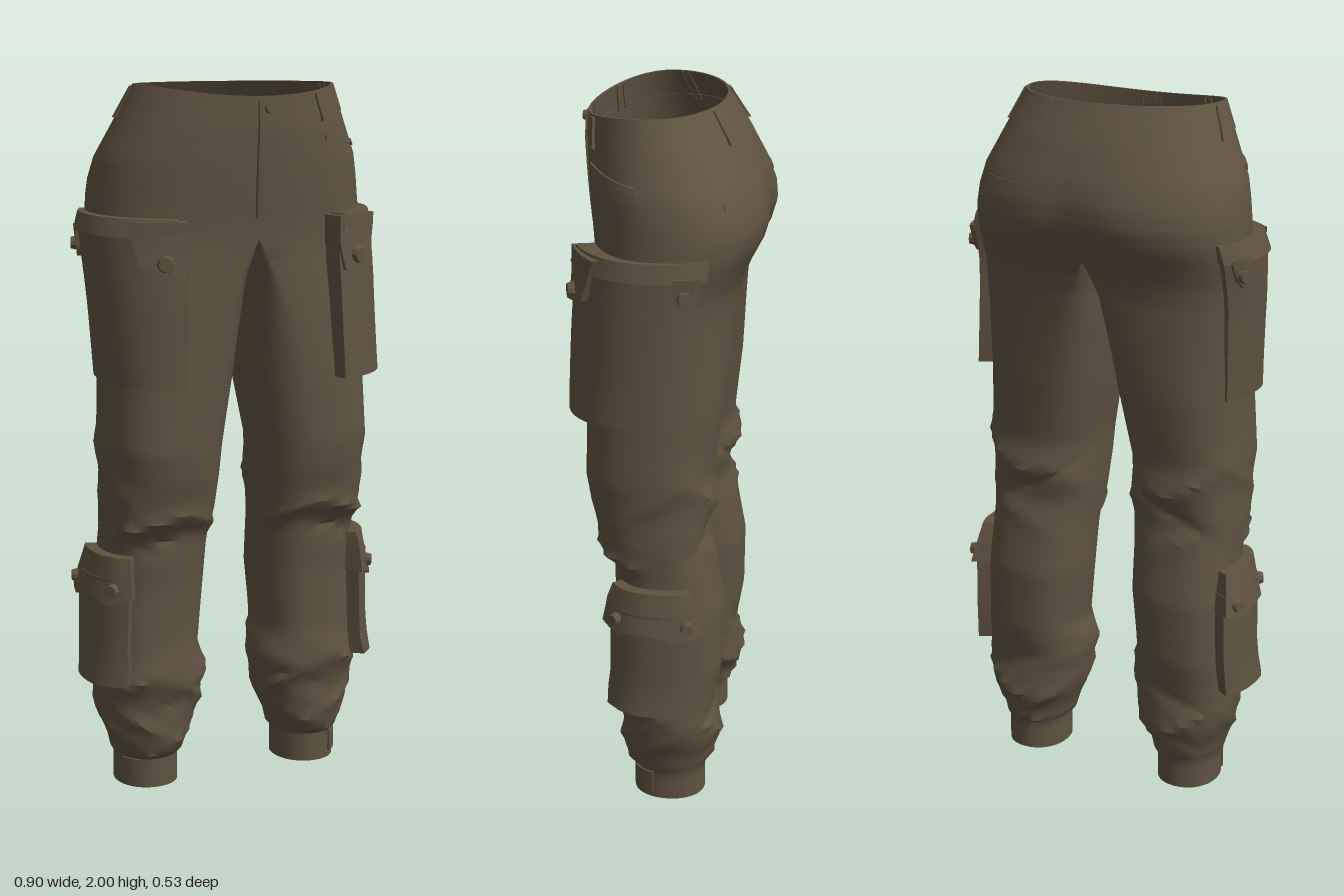
import * as THREE from 'three';
import { mergeGeometries, mergeVertices, toCreasedNormals } from 'three/addons/utils/BufferGeometryUtils.js';

const cloth = new THREE.MeshStandardMaterial({ color: 0x5f5340, side: THREE.DoubleSide });
cloth.name = 'olive brown cloth';

// Half-body cross-sections: y, inner x, outer x, back z, front z, joined (1 = torso, 0 = separate leg)
const PROFILE = [
  [2.0, 0, 0.292, -0.142, 0.228, 1], [1.9, 0, 0.337, -0.205, 0.232, 1], [1.8, 0, 0.382, -0.254, 0.226, 1],
  [1.74, 0, 0.394, -0.274, 0.221, 1], [1.69, 0, 0.399, -0.277, 0.216, 1], [1.64, 0, 0.402, -0.262, 0.21, 1],
  [1.58, 0, 0.402, -0.229, 0.205, 1], [1.53, 0.002, 0.401, -0.204, 0.204, 0.88], [1.48, 0.004, 0.4, -0.19, 0.205, 0.72],
  [1.38, 0.007, 0.395, -0.18, 0.208, 0.45], [1.2, 0.028, 0.39, -0.165, 0.212, 0.12], [1.0, 0.062, 0.397, -0.14, 0.212, 0],
  [0.92, 0.066, 0.388, -0.148, 0.2, 0], [0.82, 0.073, 0.393, -0.132, 0.172, 0], [0.74, 0.085, 0.385, -0.15, 0.14, 0],
  [0.6, 0.09, 0.39, -0.175, 0.125, 0], [0.42, 0.108, 0.393, -0.172, 0.125, 0], [0.33, 0.088, 0.4, -0.158, 0.132, 0],
  [0.25, 0.1, 0.395, -0.163, 0.118, 0], [0.2, 0.115, 0.385, -0.168, 0.115, 0], [0.14, 0.14, 0.365, -0.14, 0.108, 0],
  [0.1, 0.15, 0.355, -0.132, 0.092, 0], [0.085, 0.165, 0.345, -0.125, 0.08, 0], [0, 0.165, 0.345, -0.125, 0.08, 0],
];
const CROTCH = 1.58;

// Cloth folds: angle, height, rise per degree, thickness, angular reach, depth
const FOLDS = [
  [55, 0.785, 0.0007, 0.014, 40, 0.03], [125, 0.79, -0.0008, 0.016, 35, 0.022], [75, 0.73, 0.001, 0.018, 45, -0.016],
  [-70, 0.95, 0.0015, 0.022, 45, 0.02], [-95, 0.87, -0.0015, 0.02, 45, -0.018], [5, 0.93, -0.002, 0.026, 35, 0.012],
  [-130, 0.9, 0.0015, 0.018, 35, 0.014], [-75, 0.79, 0.0015, 0.018, 40, 0.014],
  [70, 0.34, 0.0014, 0.02, 40, 0.018], [130, 0.27, -0.0012, 0.018, 40, 0.02], [60, 0.2, -0.0012, 0.016, 35, 0.02],
  [95, 0.25, 0.001, 0.016, 40, -0.014], [-60, 0.24, 0.0014, 0.018, 40, 0.02], [-110, 0.17, -0.0012, 0.016, 40, 0.018],
  [-85, 0.3, -0.001, 0.016, 40, -0.012], [0, 0.29, 0.0018, 0.018, 35, 0.014], [5, 0.2, -0.0015, 0.016, 35, 0.014],
  [180, 0.37, 0.001, 0.022, 45, 0.012], [100, 0.125, 0.001, 0.012, 55, 0.014], [-90, 0.12, 0.001, 0.012, 55, 0.014],
];

function section(y) {
  let i = 0;
  while (i < PROFILE.length - 2 && y < PROFILE[i + 1][0]) i++;
  const a = PROFILE[i], b = PROFILE[i + 1];
  const f = (y - a[0]) / (b[0] - a[0]);
  return a.map((v, j) => v + (b[j] - v) * f);
}

// Point on the left half: t = -90 back, 0 outside, 90 front, 180 inside
function skin(t, y) {
  const [, xi, xo, zb, zf, joined] = section(y);
  const a = THREE.MathUtils.degToRad(t), c = Math.cos(a), s = Math.sin(a);
  const e = y > 1.6 ? 0.82 + 0.45 * (y - 1.6) : y < 0.3 ? 0.95 : 0.82;
  const cx = THREE.MathUtils.lerp((xi + xo) / 2, xi, joined), zc = (zb + zf) / 2;
  const pc = Math.abs(c) < 1e-6 ? 0 : Math.pow(Math.abs(c), e);
  let x = cx + (c > 0 ? xo - cx : xi - cx) * pc;
  let z = zc + Math.sign(s) * Math.pow(Math.abs(s), e) * (zf - zb) / 2;
  // Cleft at the seat
  if (s < 0) z += 0.028 * Math.exp(-((x / 0.06) ** 2) - ((y - 1.65) / 0.12) ** 2);
  if (y < 1.2 && y > 0.09) {
    let d = 0;
    for (const [t0, y0, rise, h, w, depth] of FOLDS) {
      const dt = ((t - t0 + 540) % 360) - 180;
      d += depth * Math.exp(-Math.abs(y - y0 - rise * dt) / h - (dt / w) ** 2);
    }
    x += c * d;
    z += s * d;
  }
  // Waist dips at the front
  const dip = 0.03 * Math.max(0, s) ** 2 * THREE.MathUtils.smoothstep(y, 1.8, 2);
  return new THREE.Vector3(x, y - dip, z);
}

function outward(t, y) {
  const d = skin(t + 1.5, y).sub(skin(t - 1.5, y));
  return new THREE.Vector3(d.z, 0, -d.x).normalize();
}

// Grid surface, point(i, j); mirrored to the right half when side is -1
function grid(nu, nv, point, side) {
  const pos = [], idx = [];
  for (let j = 0; j <= nv; j++) for (let i = 0; i <= nu; i++) {
    const p = point(i, j);
    pos.push(p.x * side, p.y, p.z);
  }
  for (let j = 0; j < nv; j++) for (let i = 0; i < nu; i++) {
    const a = j * (nu + 1) + i, b = a + 1, c = a + nu + 1, d = c + 1;
    if (side > 0) idx.push(a, c, b, b, c, d);
    else idx.push(a, b, c, b, d, c);
  }
  const g = new THREE.BufferGeometry();
  g.setAttribute('position', new THREE.Float32BufferAttribute(pos, 3));
  g.setIndex(idx);
  return g;
}

function mesh(name, geometry, crease = 0.6) {
  const m = new THREE.Mesh(toCreasedNormals(geometry, crease), cloth);
  m.name = name;
  return m;
}

// Heights from low to high, keeping every profile section
function heights(lo, hi) {
  const ys = [lo];
  const stops = PROFILE.map(p => p[0]).filter(y => y > lo && y <= hi).reverse();
  for (const y of stops) {
    const from = ys[ys.length - 1], n = Math.ceil((y - from) / 0.025);
    for (let k = 1; k <= n; k++) ys.push(from + (y - from) * k / n);
  }
  return ys;
}

// Raised cloth panel lying on the skin. back/front: [bottom, top] angles; thick: number or f(u, v)
function panel(name, side, back, front, y0, y1, thick, { slope = 0, hem = () => 0, nu = 10, nv = 6 } = {}) {
  const point = (i, j) => {
    const edge = i === 0 || j === 0 || i === nu + 2 || j === nv + 2;
    const u = THREE.MathUtils.clamp((i - 1) / nu, 0, 1), v = THREE.MathUtils.clamp((j - 1) / nv, 0, 1);
    const t = THREE.MathUtils.lerp(THREE.MathUtils.lerp(back[0], back[1], v), THREE.MathUtils.lerp(front[0], front[1], v), u);
    const y = THREE.MathUtils.lerp(y0 + hem(u), y1, v) + slope * (u - 0.5);
    const off = edge ? -0.004 : typeof thick === 'function' ? thick(u, v) : thick;
    return skin(t, y).addScaledVector(outward(t, y), off);
  };
  return mesh(name, grid(nu + 2, nv + 2, point, side));
}

function button(name, side, t, y, off, r = 0.02) {
  const m = mesh(name, new THREE.CylinderGeometry(r * 0.8, r, 0.018, 10));
  const n = outward(t, y), p = skin(t, y).addScaledVector(n, off);
  m.position.set(p.x * side, p.y, p.z);
  n.x *= side;
  m.quaternion.setFromUnitVectors(new THREE.Vector3(0, 1, 0), n);
  return m;
}

export function createModel() {
  const model = new THREE.Group();
  model.name = 'cargoTrousers';

  // Seat and both legs as one open skin
  const N = 20, torso = heights(CROTCH, 2), leg = heights(0, CROTCH), parts = [];
  for (const side of [1, -1]) {
    parts.push(grid(N, torso.length - 1, (i, j) => skin(-90 + 180 * i / N, torso[j]), side));
    parts.push(grid(2 * N, leg.length - 1, (i, j) => skin(-90 + 180 * i / N, leg[j]), side));
  }
  model.add(mesh('seatAndLegs', mergeVertices(mergeGeometries(parts), 1e-4), 0.75));

  for (const side of [1, -1]) {
    const half = new THREE.Group();
    half.name = side > 0 ? 'leftDetails' : 'rightDetails';
    const add = (...a) => half.add(panel(a[0], side, ...a.slice(1)));

    // Waistband, belt loops and pocket welts
    add('waistband', [-90, -90], [90, 90], 1.925, 2, 0.003, { nu: 20, nv: 2 });
    for (const t of [-62, -8, 52]) add('beltLoop', [t - 3, t - 3], [t + 3, t + 3], 1.91, 1.995, 0.009, { nu: 1, nv: 3 });
    add('hipPocketWelt', [12, 12], [56, 56], 1.835, 1.85, 0.005, { slope: 0.03, nv: 1 });
    add('backPocketWelt', [-74, -74], [-38, -38], 1.775, 1.785, 0.003, { nv: 1 });

    // Fly, overlapping to the left
    const fly = side > 0 ? 82.5 : 87;
    add('fly', [fly + 2, fly], [90, 90], 1.64, 1.985, 0.012, { nu: 2, nv: 10 });

    // Thigh cargo pocket: thin at the side, full at the front; the left one flares at its hem
    const depth = v => side > 0 ? 0.042 - 0.03 * v : 0.008 + 0.018 * v;
    const puff = (u, v) => THREE.MathUtils.lerp(depth(v), 0.05 + 0.01 * v, u ** 1.5);
    add('thighPocket', [-26, -24], [80, 60], 1.185, 1.62, puff, { nu: 14, nv: 8, hem: u => 0.015 * (1 - u) });
    add('thighPocketLip', [-25, -25], [61, 58], 1.6, 1.65, (u, v) => puff(u, 1) + 0.008 - 0.015 * v, { nv: 2, slope: -0.01 });
    add('thighPocketTab', [42, 34], [64, 62], 1.49, 1.64, (u, v) => 0.062 + 0.006 * u - 0.006 * v, { nu: 4, nv: 4, hem: u => 0.03 * (1 - u) });
    add('thighPocketTab', [-18, -20], [-10, -6], 1.53, 1.615, depth(0.85) + 0.012, { nu: 4, nv: 4, hem: u => 0.04 * Math.abs(u - 0.5) });
    half.add(button('thighButton', side, 54, 1.53, 0.072, 0.025), button('thighButton', side, -14, 1.565, depth(0.85) + 0.016));

    // Calf cargo pocket with scalloped flap
    add('calfPocket', [-31, -31], [52, 52], 0.33, 0.64, (u, v) => 0.04 + 0.008 * Math.sin(Math.PI * u), { nu: 10, nv: 6 });
    add('calfPocketFlap', [-32, -28], [56, 50], 0.57, 0.7, (u, v) => 0.058 - 0.025 * v,
      { nu: 12, nv: 3, hem: u => 0.02 * Math.abs(Math.cos(2 * Math.PI * u)) - 0.005 });
    half.add(button('calfButton', side, 38, 0.61, 0.056), button('calfButton', side, -19, 0.61, 0.056));

    // Ankle tab on the cuff
    add('cuffTab', [20, 20], [60, 60], 0.02, 0.085, 0.006, { nu: 4, nv: 2 });
    model.add(half);
  }
  model.add(button('waistButton', 1, 88, 1.965, 0.014, 0.016));
  return model;
}
